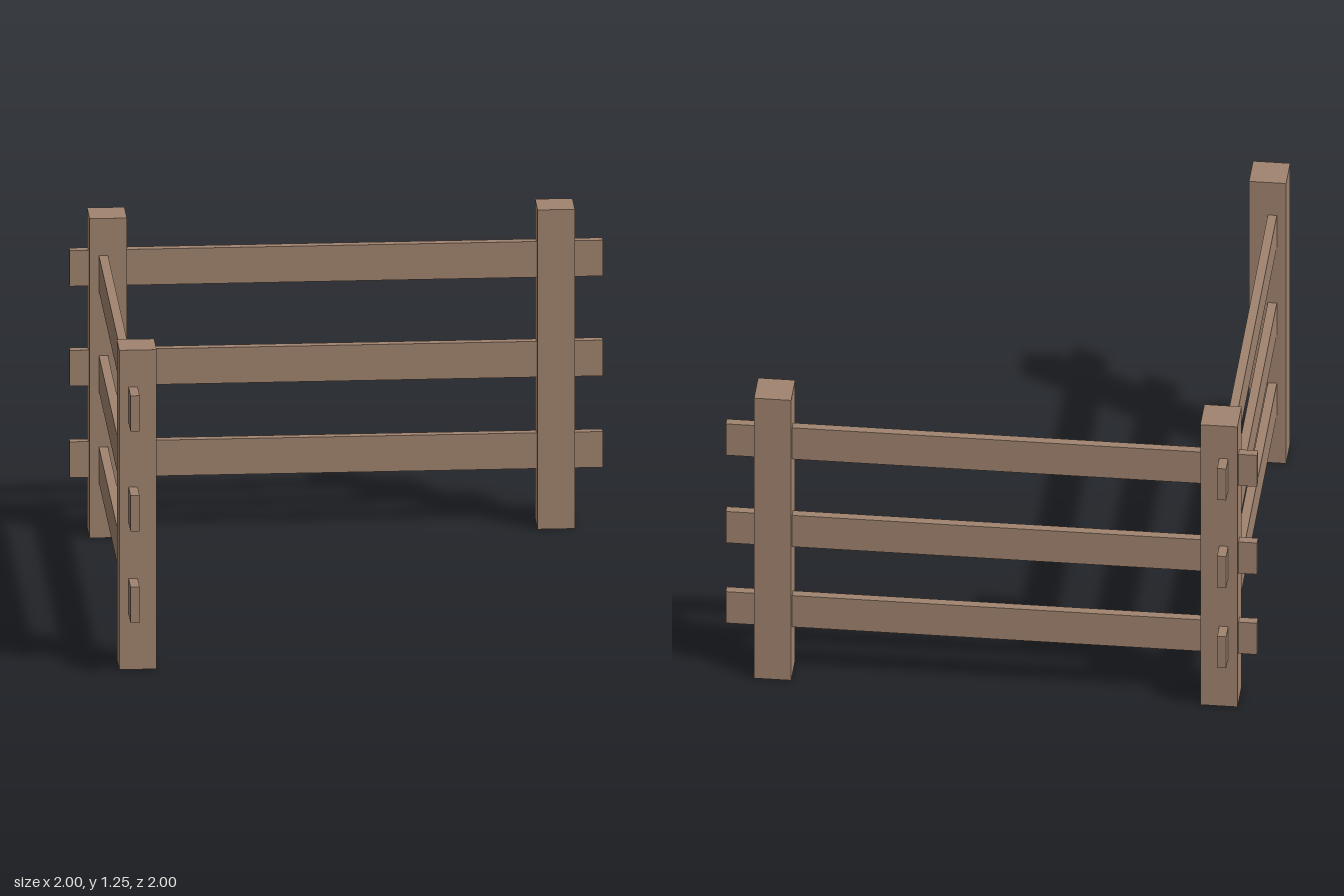
import * as THREE from 'three';

export function createModel() {
  const model = new THREE.Group();
  model.name = 'cornerFence';
  const wood = new THREE.MeshStandardMaterial({ color: 0xa0846f });
  wood.name = 'weathered wood';

  const addBox = (name, size, position) => {
    const mesh = new THREE.Mesh(new THREE.BoxGeometry(...size), wood);
    mesh.name = name;
    mesh.position.set(...position);
    model.add(mesh);
  };

  const postWidth = 0.14, postHeight = 1.25;
  const railHeight = 0.14, railThickness = 0.034, railLength = 2;
  const corner = -0.86, end = 0.82, railLine = -0.878;

  // Square posts: one at the corner, one at the end of each run
  const posts = { cornerPost: [corner, corner], backPost: [end, corner], sidePost: [corner, end] };
  for (const [name, [x, z]] of Object.entries(posts)) {
    addBox(name, [postWidth, postHeight, postWidth], [x, postHeight / 2, z]);
  }

  // Three rails per run, passing through the posts and crossing in the corner
  [0.286, 0.644, 1.035].forEach((y, i) => {
    addBox(`backRail${i + 1}`, [railLength, railHeight, railThickness], [0, y, railLine]);
    addBox(`sideRail${i + 1}`, [railThickness, railHeight, railLength], [railLine, y, 0]);
  });

  return model;
}
